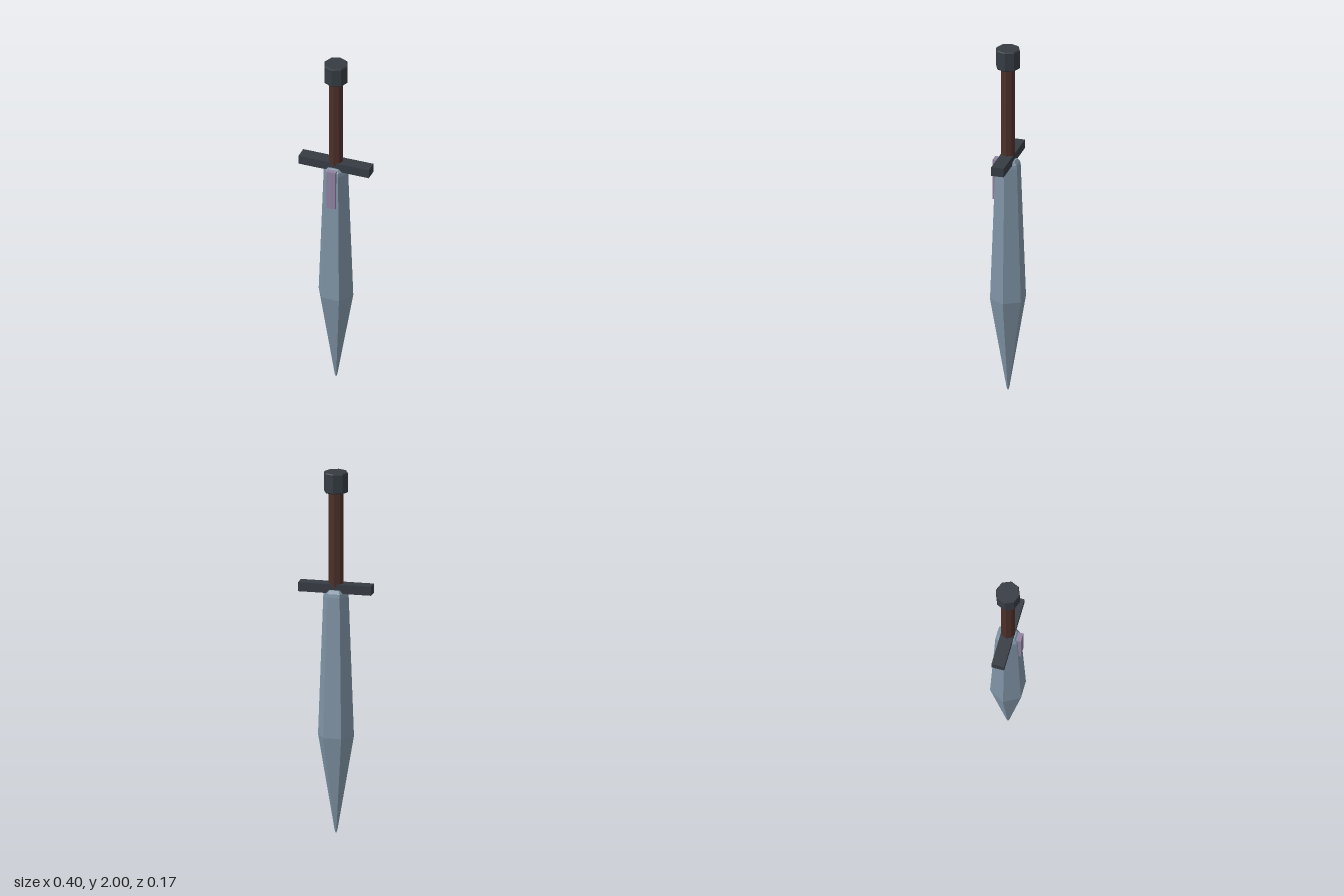
import * as THREE from 'three';

const material = (name, color) => {
  const m = new THREE.MeshStandardMaterial({ color });
  m.name = name;
  return m;
};

// Faceted solid turned from [radius, height] points, listed bottom to top
function faceted(profile, sides, start = 0) {
  const points = profile.map(([r, y]) => new THREE.Vector2(r, y));
  const geometry = new THREE.LatheGeometry(points, sides, start).toNonIndexed();
  geometry.computeVertexNormals();
  return geometry;
}

export function createModel() {
  const model = new THREE.Group();
  model.name = 'dagger';

  const steel = material('blue steel', 0x7f93a5);
  const iron = material('dark iron', 0x363c43);
  const leather = material('brown leather', 0x4d3029);
  const mauve = material('mauve plate', 0x8f82a0);

  const add = (name, geometry, mat, x = 0, y = 0, z = 0) => {
    const mesh = new THREE.Mesh(geometry, mat);
    mesh.name = name;
    mesh.position.set(x, y, z);
    model.add(mesh);
  };

  // Six-sided blade, widest low down, with a rounded shoulder under the guard
  add('blade', faceted([
    [0, 0], [0.008, 0.02], [0.099, 0.545], [0.07, 1.315],
    [0.066, 1.335], [0.05, 1.352], [0, 1.357],
  ], 6, Math.PI / 2), steel);

  // Small plate on the front of the blade
  add('bladePlate', new THREE.BoxGeometry(0.05, 0.23, 0.028), mauve, 0, 1.235, 0.064);

  // Crossguard
  add('crossguard', new THREE.BoxGeometry(0.402, 0.05, 0.07), iron, 0, 1.36, 0);

  // Grip
  add('grip', faceted([[0, 1.37], [0.04, 1.37], [0.04, 1.9], [0, 1.9]], 8), leather);

  // Octagonal pommel with a slight bevel at both rims
  add('pommel', faceted([
    [0, 1.888], [0.061, 1.888], [0.066, 1.894],
    [0.066, 1.994], [0.062, 2], [0, 2],
  ], 8), iron);

  return model;
}
